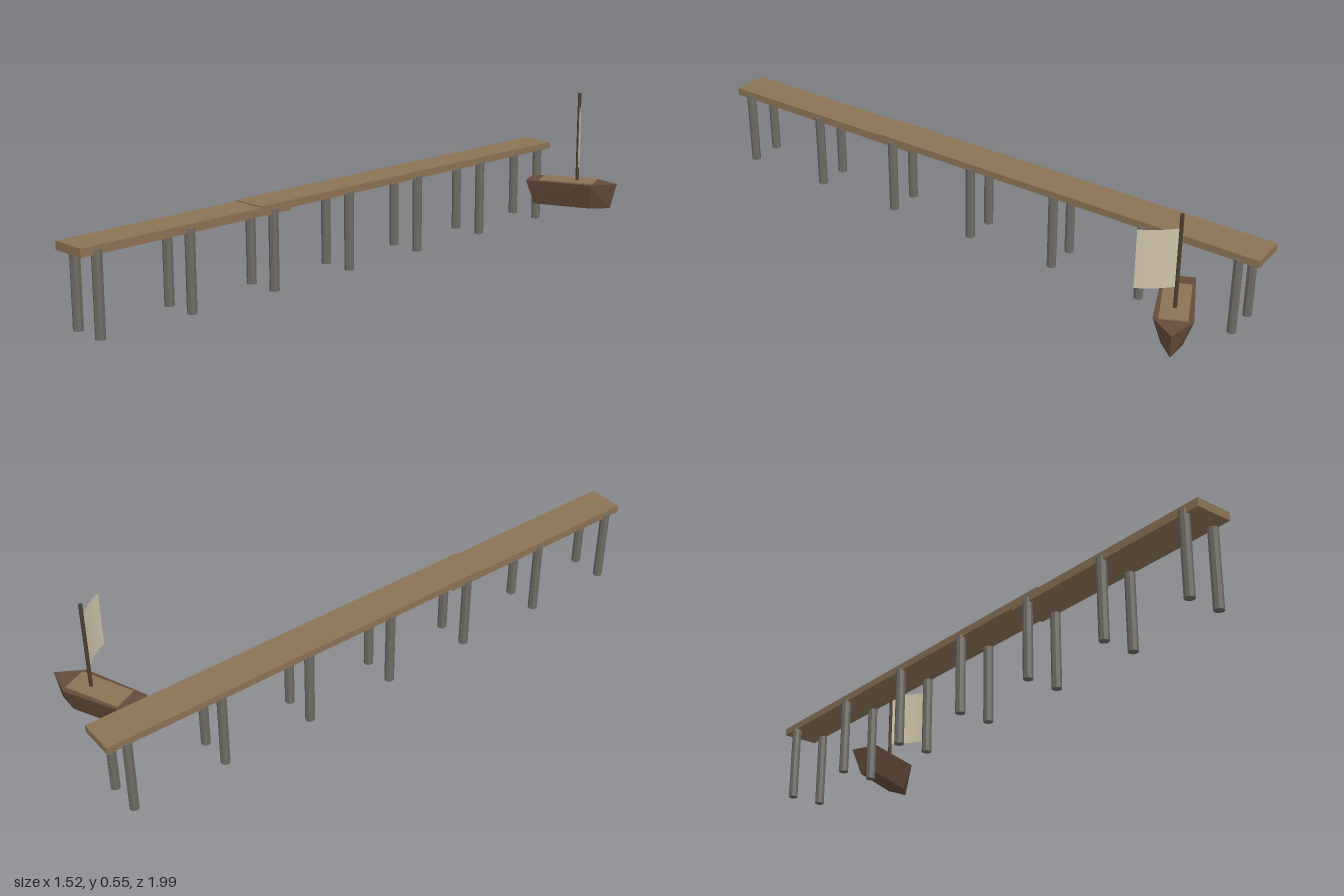
import * as THREE from 'three';
import { ConvexGeometry } from 'three/addons/geometries/ConvexGeometry.js';

const mat = (name, color, extra = {}) => {
  const m = new THREE.MeshStandardMaterial({ color, flatShading: true, ...extra });
  m.name = name;
  return m;
};

export function createModel() {
  const plankWood = mat('plank wood', 0x8b7355);
  const pileWood = mat('weathered pile wood', 0x6e6a64);
  const hullWood = mat('hull wood', 0x654c3b);
  const mastWood = mat('mast wood', 0x4e3f30);
  const sailCloth = mat('sail cloth', 0xcfc4ab, { side: THREE.DoubleSide });

  const add = (parent, name, geometry, material, x = 0, y = 0, z = 0) => {
    const mesh = new THREE.Mesh(geometry, material);
    mesh.name = name;
    mesh.position.set(x, y, z);
    parent.add(mesh);
    return mesh;
  };

  const model = new THREE.Group();
  model.name = 'pierAndBoat';

  // Pier: runs along local -z from its near end
  const pier = new THREE.Group();
  pier.name = 'pier';
  pier.position.set(-0.7075, 0, 0.9625);
  pier.rotation.y = -Math.PI / 6;
  model.add(pier);

  // Two overlapping walkway sections, the far one slightly higher
  const walkway = (name, from, to, bottom, top) =>
    add(pier, name, new THREE.BoxGeometry(0.132, top - bottom, to - from), plankWood,
      0, (top + bottom) / 2, -(from + to) / 2);
  walkway('nearWalkway', 0, 0.83, 0.267, 0.296);
  walkway('farWalkway', 0.702, 2.227, 0.275, 0.301);

  // Seven pairs of piles
  const pileHeight = 0.283;
  const pileGeometry = new THREE.CylinderGeometry(0.017, 0.017, pileHeight, 8);
  for (let i = 0; i < 7; i++) {
    for (const side of [-1, 1]) {
      add(pier, 'pile', pileGeometry, pileWood, side * 0.059, pileHeight / 2, -(0.061 + i * 0.3487));
    }
  }

  // Boat: stern at the local origin, bow toward local +x
  const boat = new THREE.Group();
  boat.name = 'boat';
  boat.position.set(0.42, 0, -0.689);
  boat.rotation.y = -0.106;
  model.add(boat);

  // Hull tapers from the rim down to a narrower bottom
  const outline = (y, stern, shoulder, bow, sternHalf, shoulderHalf) => [
    [stern, -sternHalf], [stern, sternHalf], [shoulder, -shoulderHalf], [shoulder, shoulderHalf], [bow, 0],
  ].map(([x, z]) => new THREE.Vector3(x, y, z));
  add(boat, 'hull', new ConvexGeometry([
    ...outline(0.206, 0, 0.253, 0.341, 0.054, 0.064),
    ...outline(0.11, 0.027, 0.245, 0.317, 0.028, 0.034),
  ]), hullWood);

  // Raised floor, mast
  add(boat, 'boatDeck', new THREE.BoxGeometry(0.208, 0.02, 0.092), plankWood, 0.153, 0.2, 0);
  add(boat, 'mast', new THREE.CylinderGeometry(0.0065, 0.0065, 0.365, 8), mastWood, 0.187, 0.363, 0);

  // Sail: a cloth sheet swept out to one side with a slight billow
  const sail = new THREE.PlaneGeometry(1, 0.21, 6, 1);
  const p = sail.attributes.position;
  for (let i = 0; i < p.count; i++) {
    const t = p.getX(i) + 0.5;
    p.setX(i, 0.032 * t + 0.006 * Math.sin(Math.PI * t));
    p.setZ(i, 0.129 * t);
  }
  sail.computeVertexNormals();
  add(boat, 'sail', sail, sailCloth, 0.187, 0.39, 0.001);

  return model;
}
